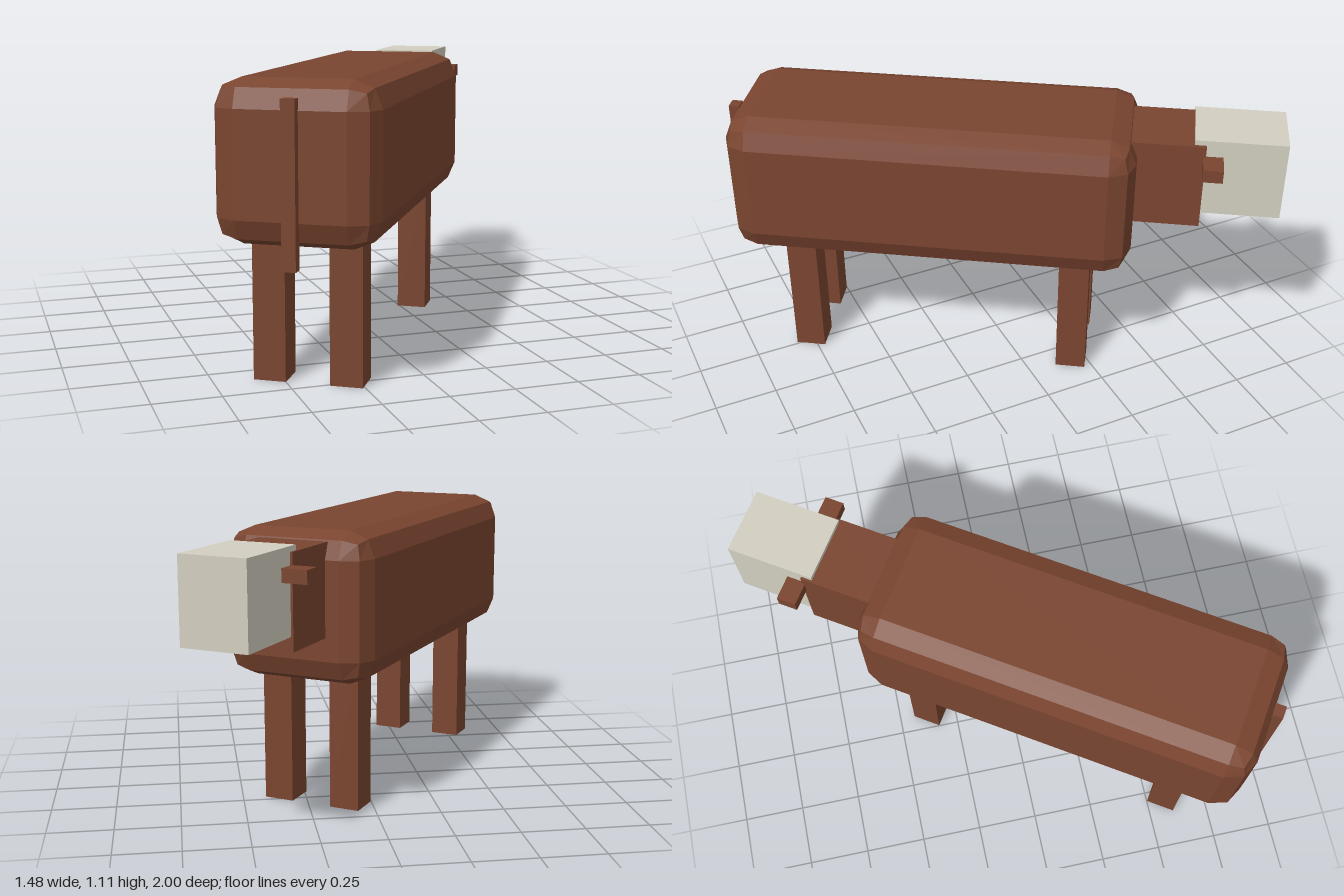
import * as THREE from 'three';
import { RoundedBoxGeometry } from 'three/addons/geometries/RoundedBoxGeometry.js';

export function createModel() {
  const brown = new THREE.MeshStandardMaterial({ color: 0x7a4530 });
  const bone = new THREE.MeshStandardMaterial({ color: 0xd2cec0 });
  brown.name = 'brownHide';
  bone.name = 'boneFace';

  // The animal is built facing -z, then turned about the vertical axis.
  const angle = THREE.MathUtils.degToRad(32.8);
  const animal = new THREE.Group();
  animal.name = 'animal';
  animal.rotation.y = -angle;
  animal.position.set(0.024 * Math.cos(angle), 0, 0.024 * Math.sin(angle));

  // Box from its width, bottom and top, and its rear and front along the body.
  function block(name, material, x, width, bottom, top, rear, front) {
    const mesh = new THREE.Mesh(new THREE.BoxGeometry(width, top - bottom, front - rear), material);
    mesh.name = name;
    mesh.position.set(x, (bottom + top) / 2, -(rear + front) / 2);
    animal.add(mesh);
  }

  // Barrel body with faceted, two-step bevels
  const bodyGeometry = new RoundedBoxGeometry(0.595, 0.58, 1.59, 1, 0.1);
  bodyGeometry.computeVertexNormals();
  const body = new THREE.Mesh(bodyGeometry, brown);
  body.name = 'body';
  body.position.set(0, 0.815, 0.235);
  animal.add(body);

  // Neck, pale head and the horn bar across it
  block('neck', brown, 0, 0.285, 0.715, 1.07, 0.45, 0.815);
  block('head', bone, -0.002, 0.263, 0.77, 1.09, 0.771, 1.118);
  for (const side of [-1, 1]) {
    block(side < 0 ? 'leftHorn' : 'rightHorn', brown, side * 0.166, 0.132, 0.972, 1.023, 0.805, 0.881);
  }

  // Four legs
  for (const [end, f] of [['rear', -0.773], ['front', 0.343]]) {
    for (const side of [-1, 1]) {
      block(end + (side < 0 ? 'LeftLeg' : 'RightLeg'), brown, side * 0.143, 0.121, 0, 0.6, f - 0.0605, f + 0.0605);
    }
  }

  // Tail hanging against the rump
  block('tail', brown, 0.006, 0.05, 0.465, 1.047, -1.066, -1.024);

  const model = new THREE.Group();
  model.name = 'model';
  model.add(animal);
  return model;
}
